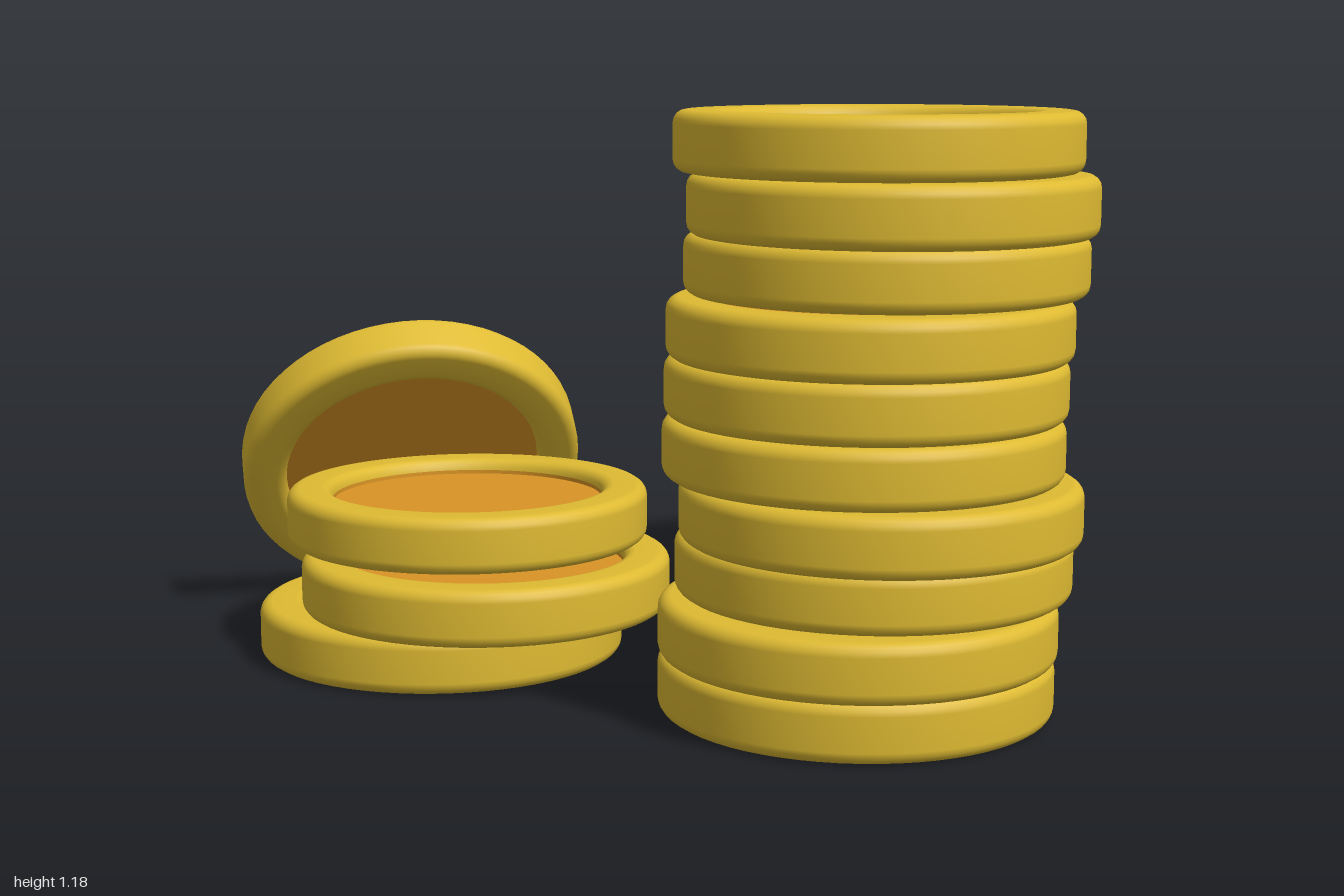
import * as THREE from 'three';

const R = 0.39;        // coin radius
const H = 0.118;       // coin thickness
const INNER = 0.292;   // recess radius
const FACE = 0.026;    // height of the recessed face above the coin's middle
const F = 0.025;       // edge rounding
const SEG = 64;

// Rounded rim section, walked anticlockwise from the lower inner edge
function rimProfile() {
  const pts = [];
  const arc = (cx, cy, start) => {
    for (let i = 0; i <= 4; i++) {
      const a = start + (i / 4) * Math.PI / 2;
      pts.push(new THREE.Vector2(cx + F * Math.cos(a), cy + F * Math.sin(a)));
    }
  };
  const y = H / 2 - F;
  arc(INNER + F, -y, Math.PI);
  arc(R - F, -y, Math.PI * 1.5);
  arc(R - F, y, 0);
  arc(INNER + F, y, Math.PI / 2);
  return pts;
}

export function createModel() {
  const gold = new THREE.MeshStandardMaterial({ color: 0xdeba32 });
  gold.name = 'gold';
  const orange = new THREE.MeshStandardMaterial({ color: 0xda9424 });
  orange.name = 'orange';

  const rimGeo = new THREE.LatheGeometry(rimProfile(), SEG);
  const wallGeo = new THREE.LatheGeometry(
    [new THREE.Vector2(INNER, H / 2 - F), new THREE.Vector2(INNER, FACE)], SEG);
  const faceGeo = new THREE.CircleGeometry(INNER, SEG).rotateX(-Math.PI / 2).translate(0, FACE, 0);

  // One coin, centred on its own middle, with a recess on both sides
  function coin(name) {
    const g = new THREE.Group();
    g.name = name;
    const add = (geo, mat, part, flip) => {
      const m = new THREE.Mesh(geo, mat);
      m.name = part;
      if (flip) m.rotation.x = Math.PI;
      g.add(m);
    };
    add(rimGeo, gold, 'rim', false);
    for (const flip of [false, true]) {
      add(wallGeo, orange, 'recessWall', flip);
      add(faceGeo, orange, 'coinFace', flip);
    }
    return g;
  }

  // A stack of coins from the ground up, given as [x, z] centres
  function stack(name, centres) {
    const g = new THREE.Group();
    g.name = name;
    centres.forEach(([x, z], i) => {
      const c = coin('coin' + (i + 1));
      c.position.set(x, H * (i + 0.5), z);
      g.add(c);
    });
    return g;
  }

  const model = new THREE.Group();
  model.name = 'coinStacks';
  model.add(
    stack('tallStack', [
      [0.538, 0.472], [0.546, 0.501], [0.567, 0.452], [0.59, 0.511], [0.552, 0.494],
      [0.556, 0.494], [0.567, 0.522], [0.588, 0.469], [0.608, 0.526], [0.576, 0.506],
    ]),
    stack('middleStack', [
      [0.412, -0.455], [0.377, -0.486], [0.405, -0.462],
      [0.406, -0.516], [0.412, -0.482], [0.42, -0.525],
    ]),
    stack('lowStack', [[-0.408, 0.25], [-0.286, 0.305], [-0.366, 0.193]]),
  );

  // Coin leaning against the low stack
  const leaning = coin('leaningCoin');
  leaning.quaternion.setFromUnitVectors(
    new THREE.Vector3(0, 1, 0), new THREE.Vector3(-0.385, 0.577, -0.72).normalize());
  leaning.position.set(-0.623, 0.344, -0.138);
  model.add(leaning);

  return model;
}
